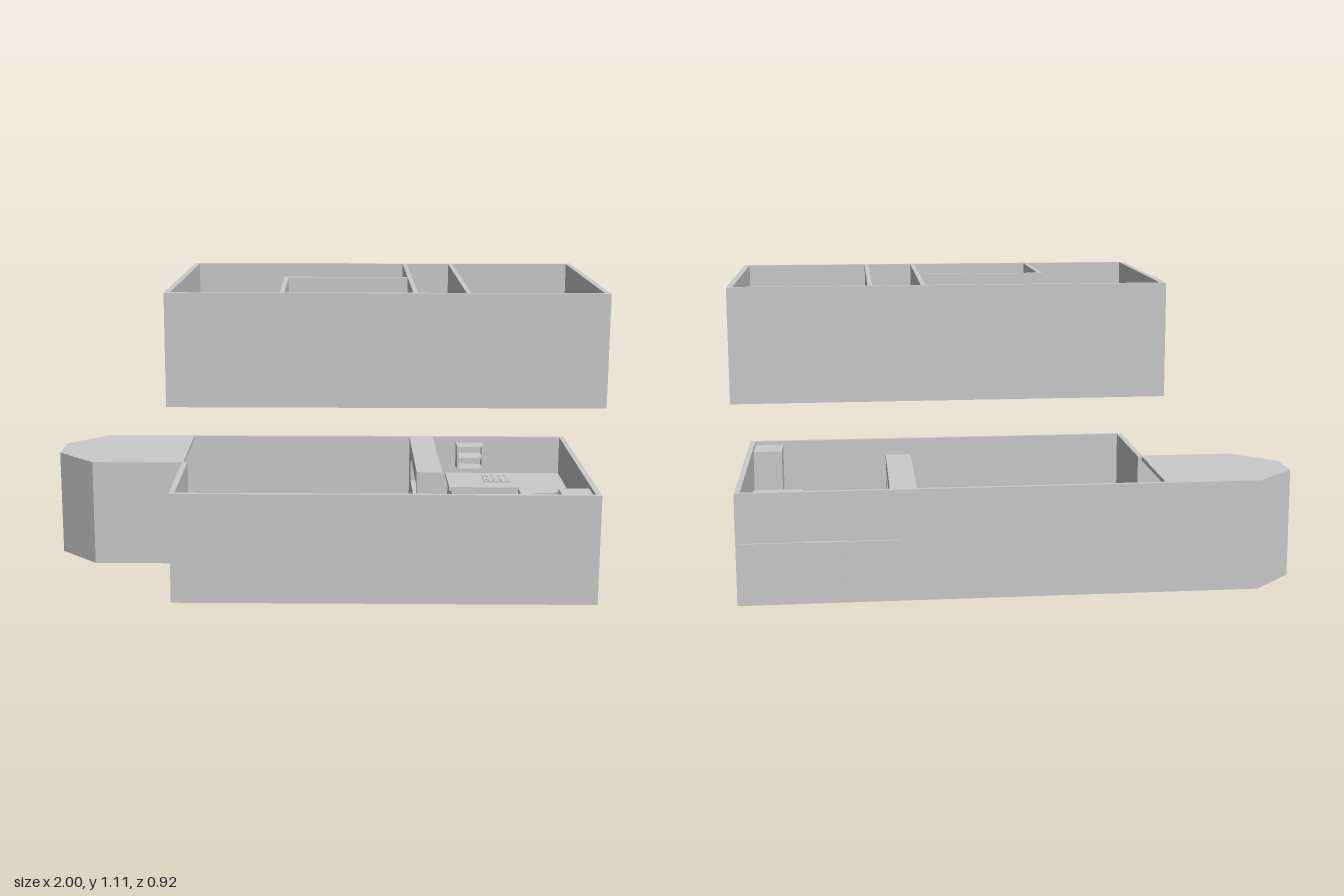
import * as THREE from 'three';

export function createModel() {
  const model = new THREE.Group();
  const mat = new THREE.MeshStandardMaterial({ color: 0xcccccc, flatShading: true });

  const add = (name, geo, parent) => {
    const mesh = new THREE.Mesh(geo, mat);
    mesh.name = name;
    parent.add(mesh);
    return mesh;
  };
  // Box given by its low and high corners
  const box = (name, [x0, y0, z0], [x1, y1, z1], parent) => {
    const g = new THREE.BoxGeometry(x1 - x0, y1 - y0, z1 - z0);
    g.translate((x0 + x1) / 2, (y0 + y1) / 2, (z0 + z1) / 2);
    return add(name, g, parent);
  };
  // Upright prism from a plan outline of [x, z] points, clockwise from above.
  // Openings are listed the same way round and reversed so their walls face inward.
  const toPlan = (pts) => pts.map(([x, z]) => new THREE.Vector2(x, -z));
  const prism = (name, outline, y0, y1, holes, parent) => {
    const shape = new THREE.Shape(toPlan(outline));
    holes.forEach((h) => shape.holes.push(new THREE.Path(toPlan(h).reverse())));
    const g = new THREE.ExtrudeGeometry(shape, { depth: y1 - y0, bevelEnabled: false });
    g.rotateX(-Math.PI / 2).translate(0, y0, 0);
    return add(name, g, parent);
  };
  const group = (name) => {
    const g = new THREE.Group();
    g.name = name;
    model.add(g);
    return g;
  };

  // Ground storey: house with an angled bay
  const lower = group('groundStorey');
  const bay = [[-0.51, 0.013], [-0.85, 0.013], [-1, -0.137], [-1, -0.29], [-0.845, -0.443]];
  const plan = [[1, -0.443], [1, 0.457], [-0.51, 0.457], ...bay];
  const inside = [[0.98, -0.426], [0.98, 0.44], [-0.49, 0.44], [-0.49, -0.003],
    [-0.843, -0.003], [-0.985, -0.144], [-0.985, -0.283], [-0.838, -0.426]];
  prism('groundFloor', plan, 0, 0.025, [], lower);
  prism('groundWalls', plan, 0.025, 0.4, [inside], lower);
  prism('bayRoof', [[-0.505, -0.435], [-0.505, 0.005], [-0.847, 0.005], [-0.992, -0.14], [-0.992, -0.287], [-0.842, -0.435]],
    0.385, 0.4005, [], lower);

  // Thick partition with a serving hatch
  const partition = group('partition');
  box('hatchWall', [0.372, 0.025, -0.426], [0.467, 0.25, 0.14], partition);
  box('hatchLintel', [0.372, 0.345, -0.426], [0.467, 0.399, 0.14], partition);
  box('hatchPillar', [0.372, 0.25, 0.115], [0.467, 0.345, 0.14], partition);
  box('hatchPillar', [0.372, 0.25, -0.426], [0.467, 0.345, -0.3], partition);

  // Kitchen counters along the back and side walls
  const kitchen = group('kitchen');
  box('backCabinets', [0.53, 0.025, -0.426], [0.8, 0.235, -0.21], kitchen);
  box('sideCabinets', [0.8, 0.025, -0.426], [0.98, 0.235, 0.22], kitchen);
  prism('worktop', [[0.52, -0.426], [0.98, -0.426], [0.98, 0.23], [0.79, 0.23], [0.79, -0.2], [0.52, -0.2]],
    0.235, 0.25, [[[0.84, -0.12], [0.94, -0.12], [0.94, 0.01], [0.84, 0.01]]], kitchen);
  box('tallUnit', [0.87, 0.025, 0.31], [0.98, 0.385, 0.44], kitchen);

  // Cabinet doors with knobs
  for (let i = 0; i < 3; i++) {
    const x = 0.54 + i * 0.083;
    box('backDoor', [x, 0.05, -0.21], [x + 0.073, 0.22, -0.204], kitchen);
    box('knob', [x + 0.053, 0.18, -0.204], [x + 0.063, 0.2, -0.196], kitchen);
  }
  for (let i = 0; i < 4; i++) {
    const z = -0.185 + i * 0.101;
    box('sideDoor', [0.794, 0.05, z], [0.8, 0.22, z + 0.09], kitchen);
    box('knob', [0.786, 0.18, z + 0.07], [0.794, 0.2, z + 0.08], kitchen);
  }

  // Hob with four burners
  box('hob', [0.665, 0.25, -0.385], [0.77, 0.255, -0.275], kitchen);
  for (const x of [0.692, 0.743]) {
    for (const z of [-0.357, -0.303]) {
      const ring = new THREE.TorusGeometry(0.016, 0.003, 6, 16);
      add('burner', ring.rotateX(Math.PI / 2).translate(x, 0.256, z), kitchen);
    }
  }

  // Tap
  const spout = new THREE.CatmullRomCurve3([[0.96, 0.25], [0.96, 0.27], [0.94, 0.28], [0.91, 0.27]]
    .map(([x, y]) => new THREE.Vector3(x, y, -0.05)));
  add('tap', new THREE.TubeGeometry(spout, 12, 0.005, 8), kitchen);

  // Open corner shelves on the back wall
  const shelf = [[0.56, -0.426], [0.67, -0.426], [0.67, -0.38], [0.635, -0.345], [0.56, -0.345]];
  for (const y of [0.28, 0.325, 0.37]) prism('wallShelf', shelf, y, y + 0.008, [], kitchen);
  box('shelfSide', [0.56, 0.28, -0.426], [0.568, 0.378, -0.345], kitchen);
  box('shelfSide', [0.662, 0.28, -0.426], [0.67, 0.378, -0.38], kitchen);

  // Window panels on the back wall, the middle one raised
  const back = group('backWindow');
  box('sidePanel', [0.435, 0.075, -0.45], [0.62, 0.222, -0.443], back);
  box('sidePanel', [0.76, 0.075, -0.45], [0.985, 0.222, -0.443], back);
  box('middlePanel', [0.62, 0.037, -0.46], [0.76, 0.224, -0.443], back);

  // Upper storey, floating above; its end wall is slightly skewed
  const upper = group('upperStorey');
  const upperPlan = [[1, -0.441], [1, 0.46], [-0.51, 0.46], [-0.49, -0.441]];
  prism('upperFloor', upperPlan, 0.71, 0.73, [], upper);
  prism('upperWalls', upperPlan, 0.73, 1.105,
    [[[0.98, -0.425], [0.98, 0.444], [-0.49, 0.444], [-0.47, -0.425]]], upper);
  for (const x of [0.335, 0.515]) {
    box('crossWall', [x, 0.73, -0.425], [x + 0.016, 1.104, 0.444], upper);
  }
  box('smallRoomWall', [-0.118, 0.73, -0.004], [0.335, 1.104, 0.013], upper);
  box('smallRoomWall', [-0.118, 0.73, 0.013], [-0.102, 1.104, 0.444], upper);

  return model;
}
